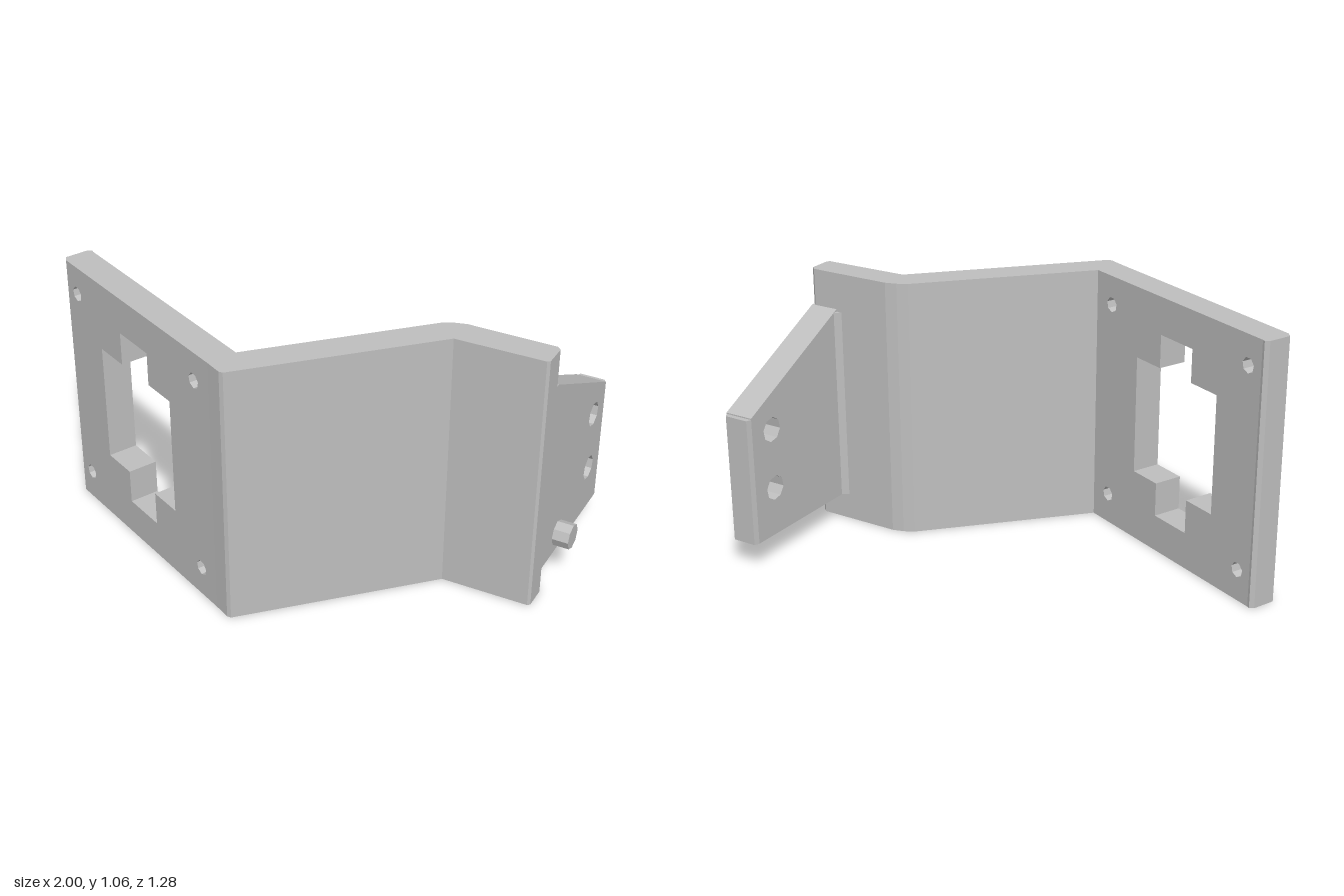
import * as THREE from 'three';

const HEIGHT = 1.06, THICK = 0.12;

export function createModel() {
  const group = new THREE.Group();
  const grey = new THREE.MeshStandardMaterial({ color: 0xbebebe });
  grey.name = 'bracketGrey';

  const add = (name, geometry) => {
    const mesh = new THREE.Mesh(geometry, grey);
    mesh.name = name;
    group.add(mesh);
    return mesh;
  };
  const outline = (pts) => new THREE.Shape(pts.map(([a, b]) => new THREE.Vector2(a, b)));
  const roundHole = (x, y, rx, ry, sides) => {
    const pts = [];
    for (let i = 0; i < sides; i++) {
      const a = (i / sides) * Math.PI * 2 + 0.2;
      pts.push(new THREE.Vector2(x + rx * Math.cos(a), y + ry * Math.sin(a)));
    }
    return new THREE.Path(pts);
  };
  const extrude = (shape, depth) =>
    new THREE.ExtrudeGeometry(shape, { depth, bevelEnabled: false });
  // Raises an [x, z] floor plan from y0 to y1
  const raise = (plan, y0, y1) =>
    extrude(outline(plan.map(([x, z]) => [x, -z])), y1 - y0).rotateX(-Math.PI / 2).translate(0, y0, 0);

  // Slanted mounting panel with a cross-shaped cutout and four screw holes
  const angle = Math.atan2(0.421, 0.907);
  const cos = Math.cos(angle), sin = Math.sin(angle);
  const frontEdge = [-0.985, 0.197];
  const backEdge = [frontEdge[0] + sin * THICK, frontEdge[1] - cos * THICK];
  const along = (x) => (x - frontEdge[0]) / cos;
  const length = along(-0.1);
  const panel = outline([[0, 0], [length, 0], [length, HEIGHT], [0, HEIGHT]]);
  const [l, sl, sr, r] = [-0.775, -0.64, -0.47, -0.34].map(along);
  const [b0, b1, t0, t1] = [0.15, 0.29, 0.775, 0.91];
  panel.holes.push(new THREE.Path([
    [sl, b0], [sr, b0], [sr, b1], [r, b1], [r, t0], [sr, t0],
    [sr, t1], [sl, t1], [sl, t0], [l, t0], [l, b1], [sl, b1],
  ].map(([x, y]) => new THREE.Vector2(x, y))));
  for (const x of [-0.922, -0.186])
    for (const y of [0.125, 0.943])
      panel.holes.push(roundHole(along(x), y, 0.031, 0.031, 7));
  const plate = add('mountingPanel', extrude(panel, THICK));
  plate.rotation.y = -angle;
  plate.position.set(backEdge[0], 0, backEdge[1]);

  // Eased outer edge of the panel
  add('panelEdge', raise([
    frontEdge, [-1, 0.175], [-0.962, 0.09], [-0.945, 0.08], backEdge,
  ], 0, HEIGHT));

  // Folded web running from the front bend to the side tab
  const bendFront = [frontEdge[0] + length * cos, frontEdge[1] + length * sin];
  const bendBack = [backEdge[0] + length * cos, backEdge[1] + length * sin];
  add('foldedWeb', raise([
    bendFront, bendBack, [0.49, -0.038], [0.53, -0.058], [0.575, -0.07],
    [0.918, -0.07], [0.935, -0.055], [0.935, 0.036], [0.925, 0.045],
    [0.575, 0.05], [-0.018, 0.64], [-0.035, 0.64],
  ], 0, HEIGHT));

  // Tapered rear flange with two bolt holes
  const flange = outline([
    [0.05, 0.11], [0.62, 0.11], [0.62, 0.635], [0.07, 0.91], [0.05, 0.91],
  ]);
  for (const y of [0.55, 0.305]) flange.holes.push(roundHole(0.505, y, 0.05, 0.05, 8));
  add('rearFlange', extrude(flange, THICK).rotateY(Math.PI / 2).translate(0.815, 0, 0));
  add('flangeEdge', raise([
    [0.815, -0.62], [0.823, -0.64], [0.922, -0.64], [0.935, -0.62],
  ], 0.11, 0.63));
  add('flangeFillet', raise([[0.79, -0.069], [0.816, -0.09], [0.816, -0.069]], 0.11, 0.9));

  // Locating peg on the outer side of the flange
  const peg = new THREE.CylinderGeometry(0.051, 0.051, 0.07, 8).toNonIndexed();
  peg.computeVertexNormals();
  add('locatingPeg', peg.rotateZ(-Math.PI / 2).translate(0.965, 0.19, -0.195));

  return group;
}
